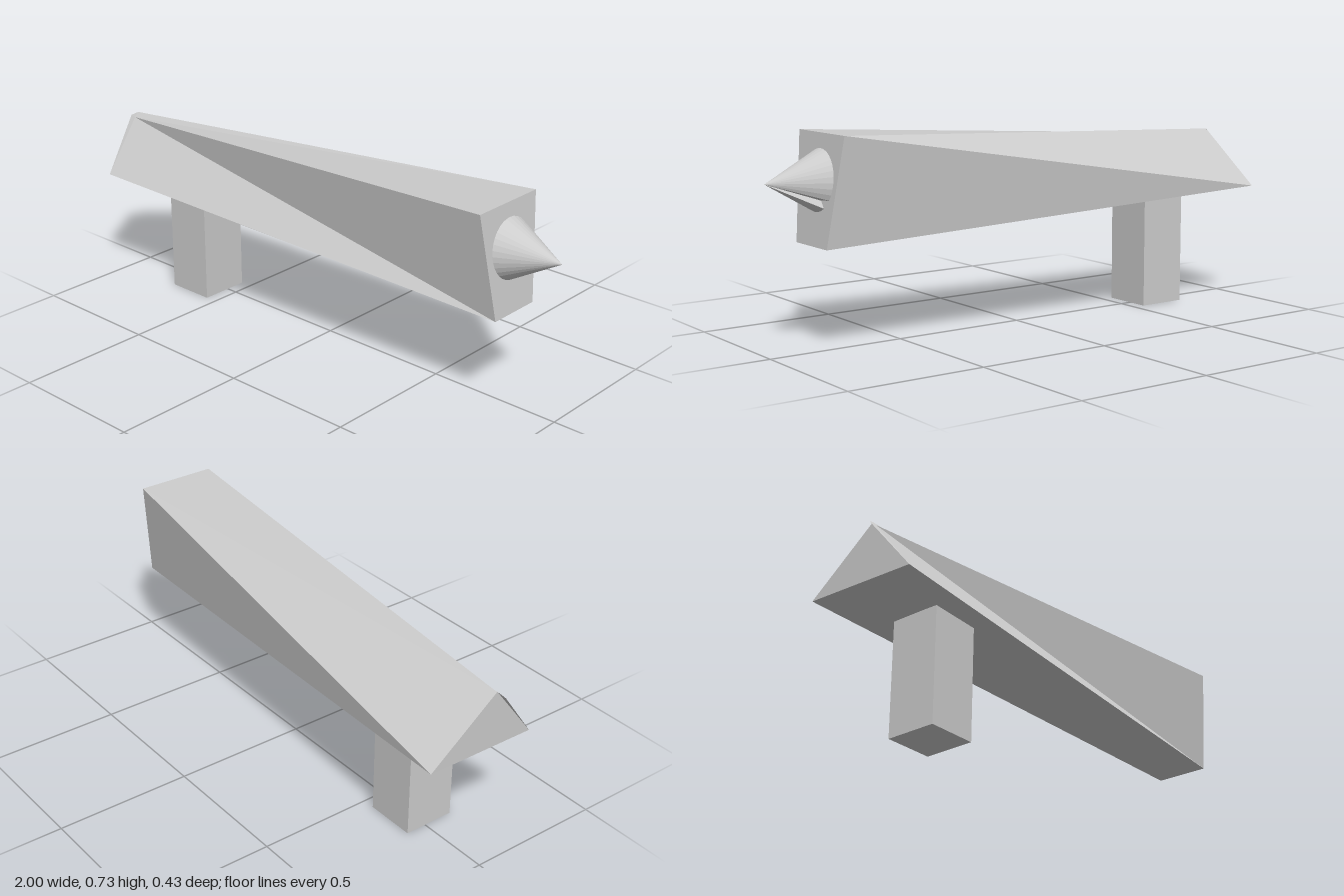
import * as THREE from 'three';

// Builds a faceted mesh from named corners and a list of outward triangles
function facetMesh(name, triangles, material) {
  const geometry = new THREE.BufferGeometry();
  geometry.setAttribute('position', new THREE.Float32BufferAttribute(triangles.flat(2), 3));
  geometry.computeVertexNormals();
  const mesh = new THREE.Mesh(geometry, material);
  mesh.name = name;
  return mesh;
}

export function createModel() {
  const model = new THREE.Group();
  model.name = 'model';
  const grey = new THREE.MeshStandardMaterial({ color: 0xcccccc, flatShading: true });
  const greyOpen = grey.clone();
  greyOpen.side = THREE.DoubleSide;

  // Body: a four-sided end at +x tapering to a pinched ridge at -x
  const topFront = [0.785, 0.73, 0.166], topBack = [0.785, 0.73, -0.134];
  const lowFront = [0.83, 0.355, 0.12], lowBack = [0.83, 0.355, -0.085];
  const tailFront = [-0.967, 0.432, 0.213], tailBack = [-0.973, 0.443, -0.214];
  const ridge = [-0.973, 0.645, 0.048], ridgeEnd = [-1, 0.63, 0.06], ridgeFront = [-0.975, 0.627, 0.064];
  model.add(facetMesh('body', [
    [ridgeFront, lowFront, topFront], [ridgeFront, tailFront, lowFront], // front
    [ridgeFront, topFront, topBack], [ridgeFront, topBack, ridge],       // top
    [tailBack, ridge, topBack], [tailBack, topBack, lowBack],            // back
    [tailFront, tailBack, lowBack], [tailFront, lowBack, lowFront],      // underside
    [lowFront, lowBack, topBack], [lowFront, topBack, topFront],         // nose end
    [tailBack, tailFront, ridge], [ridge, tailFront, ridgeEnd],          // tail end
    [ridgeEnd, tailFront, ridgeFront], [ridge, ridgeEnd, ridgeFront],
  ], grey));

  // Nose spike: a cone standing on the slanted end, with a wedge cut out
  const tip = [1, 0.574, 0.013];
  const onEnd = (y, z) => [0.785 + (0.73 - y) * 0.12, y, z];
  const rim = (degrees) => {
    const a = THREE.MathUtils.degToRad(degrees);
    return onEnd(0.574 + 0.105 * Math.sin(a), 0.013 + 0.103 * Math.cos(a));
  };
  const start = 237, end = 574, segments = 30;
  const spike = [];
  for (let i = 0; i < segments; i++) {
    const step = (end - start) / segments;
    spike.push([tip, rim(start + (i + 1) * step), rim(start + i * step)]);
  }
  // Walls of the wedge
  const notch = onEnd(0.51, -0.021);
  spike.push([tip, notch, rim(end)], [tip, rim(start), notch]);
  model.add(facetMesh('noseSpike', spike, greyOpen));

  // Single square leg
  const leg = new THREE.Mesh(new THREE.BoxGeometry(0.185, 0.425, 0.19), grey);
  leg.name = 'leg';
  leg.position.set(-0.637, 0.2125, 0.017);
  model.add(leg);

  return model;
}
